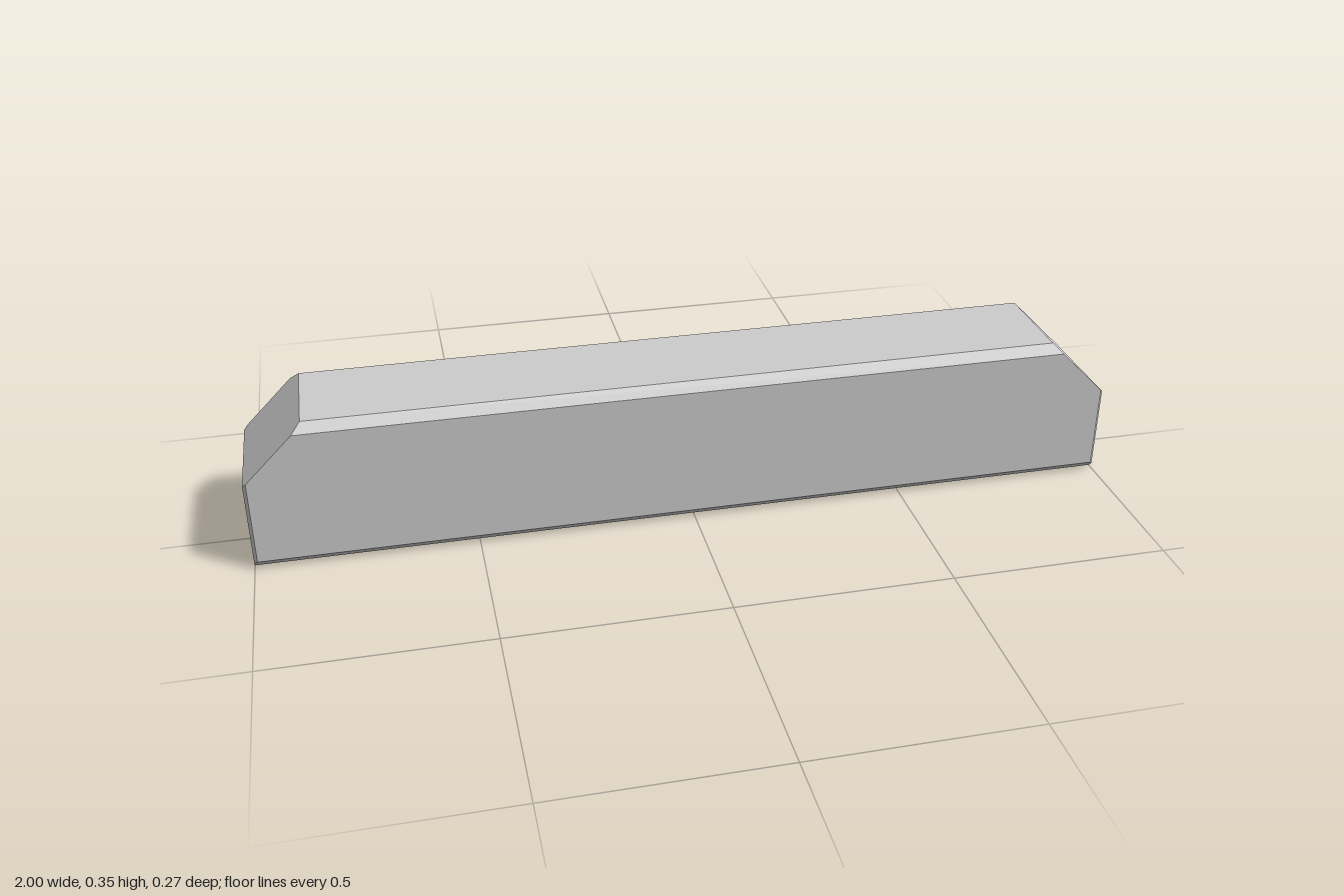
import * as THREE from 'three';
import { ConvexGeometry } from 'three/addons/geometries/ConvexGeometry.js';

const HEIGHT = 0.35;
const HALF_DEPTH = 0.135;
const EDGE = 0.021; // bevel along the long edges
const CORNER = 0.008; // bevel on the upright end corners
const SLOPE = 1.213; // x + y on the 45 degree sloping ends

export function createModel() {
  // corners of one quarter of the beam, as x, y, z
  const top = HEIGHT - EDGE;
  const quarter = [
    // bottom edge and its bevel
    [1, 0, HALF_DEPTH - EDGE],
    [1, EDGE - CORNER, HALF_DEPTH - CORNER],
    [1 - CORNER, EDGE, HALF_DEPTH],
    // foot of the sloping end
    [1, SLOPE - 1, HALF_DEPTH - CORNER],
    [1 - CORNER, SLOPE - 1 + CORNER, HALF_DEPTH],
    // top edge and its bevel
    [SLOPE - top, top, HALF_DEPTH],
    [SLOPE - HEIGHT, HEIGHT, HALF_DEPTH - EDGE],
  ];

  // mirror to both ends and both sides
  const points = [];
  for (const sx of [1, -1]) {
    for (const sz of [1, -1]) {
      for (const [x, y, z] of quarter) points.push(new THREE.Vector3(sx * x, y, sz * z));
    }
  }

  const beam = new THREE.Mesh(
    new ConvexGeometry(points),
    new THREE.MeshStandardMaterial({ color: 0xcccccc, flatShading: true })
  );
  beam.name = 'bevelledBeam';

  const group = new THREE.Group();
  group.name = 'beam';
  group.add(beam);
  return group;
}
